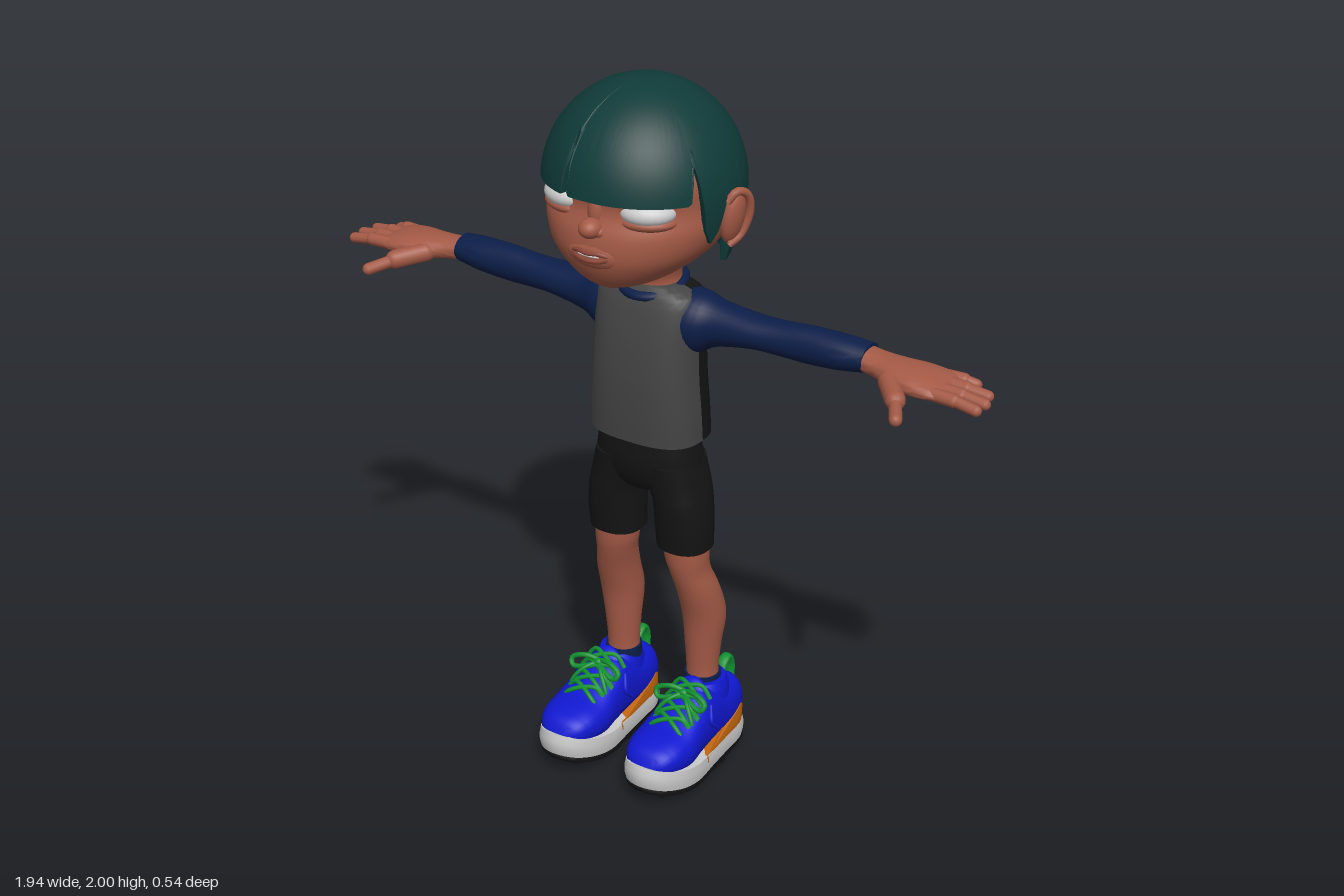
import * as THREE from 'three';
import { toCreasedNormals } from 'three/addons/utils/BufferGeometryUtils.js';

const mat = (color) => new THREE.MeshStandardMaterial({ color, side: THREE.DoubleSide });
const M = {
  skin: mat(0xa45a46), lip: mat(0x8a4537), hair: mat(0x0f3b39), white: mat(0xe6e6e6), navy: mat(0x0c1e48),
  grey: mat(0x444444), black: mat(0x141414), blue: mat(0x1018d0), green: mat(0x109030), orange: mat(0xc4660f),
};
const V = (x, y, z) => new THREE.Vector3(x, y, z);

function add(parent, name, geo, material) {
  const mesh = new THREE.Mesh(geo, material);
  mesh.name = name;
  parent.add(mesh);
  return mesh;
}

// Smooth skin through superellipse sections [t, centreA, centreB, radiusA, radiusB] along an axis.
function loft(rows, axis = 'y', { n = 2, from = 0, arc = Math.PI * 2, seg = 28, sub = 5 } = {}) {
  const mid = new THREE.CatmullRomCurve3(rows.map((r) => V(r[0], r[1], r[2])), false, 'catmullrom', 0.5);
  const rad = new THREE.CatmullRomCurve3(rows.map((r) => V(r[3], r[4], 0)), false, 'catmullrom', 0.5);
  const count = (rows.length - 1) * sub, pos = [], idx = [], W = seg + 1;
  const pw = (v) => Math.sign(v) * Math.pow(Math.abs(v), 2 / n);
  const put = (t, a, b) => pos.push(...(axis === 'y' ? [a, t, b] : axis === 'x' ? [t, a, b] : [a, b, t]));
  const ring = (i) => {
    const m = mid.getPoint(i / count), r = rad.getPoint(i / count);
    for (let j = 0; j <= seg; j++) {
      const th = from + (arc * j) / seg;
      put(m.x, m.y + Math.max(r.x, 5e-4) * pw(Math.cos(th)), m.z + Math.max(r.y, 5e-4) * pw(Math.sin(th)));
    }
    return m;
  };
  const flip = (axis === 'y') !== (rows[0][0] > rows[rows.length - 1][0]);
  const tri = (a, b, c) => (flip ? idx.push(a, c, b) : idx.push(a, b, c));
  for (let i = 0; i <= count; i++) ring(i);
  for (let i = 0; i < count; i++) for (let j = 0; j < seg; j++) {
    const p = i * W + j;
    tri(p, p + 1, p + W);
    tri(p + 1, p + W + 1, p + W);
  }
  for (const end of [0, count]) { // caps
    const base = pos.length / 3, m = ring(end);
    put(m.x, m.y, m.z);
    for (let j = 0; j < seg; j++) end ? tri(base + j, base + j + 1, base + W) : tri(base + j + 1, base + j, base + W);
  }
  const geo = new THREE.BufferGeometry();
  geo.setAttribute('position', new THREE.Float32BufferAttribute(pos, 3));
  geo.setIndex(idx);
  return toCreasedNormals(geo, 0.9);
}

function ball(parent, name, material, [x, y, z], [a, b, c]) {
  const mesh = add(parent, name, new THREE.SphereGeometry(1, 24, 16), material);
  mesh.position.set(x, y, z);
  mesh.scale.set(a, b, c);
  return mesh;
}

function limb(parent, name, material, p, q, r) {
  const a = V(...p), b = V(...q);
  const mesh = add(parent, name, new THREE.CapsuleGeometry(r, a.distanceTo(b), 6, 12), material);
  mesh.position.copy(a).add(b).multiplyScalar(0.5);
  mesh.quaternion.setFromUnitVectors(V(0, 1, 0), b.sub(a).normalize());
}

const tube = (pts, r, closed = false) =>
  new THREE.TubeGeometry(new THREE.CatmullRomCurve3(pts.map((p) => V(...p)), closed), 24, r, 8, closed);

// Bobbed hair: a shell whose hem height depends on the angle away from the front.
function hairGeometry() {
  const hemTable = [[0, 1.757], [58, 1.75], [60, 1.756], [64, 1.85], [70, 1.67], [75, 1.63], [80, 1.66], [85, 1.75],
    [94, 1.76], [97, 1.72], [99, 1.55], [140, 1.53], [181, 1.515]];
  const hem = (deg) => {
    const a = Math.abs(deg), k = hemTable.findIndex((e) => e[0] > a), [a0, y0] = hemTable[k - 1], [a1, y1] = hemTable[k];
    const y = y0 + ((y1 - y0) * (a - a0)) / (a1 - a0);
    const parting = 0.14 * Math.max(0, 1 - Math.abs(deg + 16) / 2.4);
    return y + parting + (a > 99 ? 0.006 * Math.sin(a * 0.3) : 0);
  };
  const radius = (d) => (d < 0.27 ? Math.sqrt(1 - ((0.27 - d) / 0.27) ** 2) : 1 - 0.18 * ((d - 0.27) / 0.21) ** 1.5);
  const cols = 288, rows = 18, pos = [], idx = [];
  for (let i = 0; i <= rows + 2; i++) for (let j = 0; j < cols; j++) {
    const deg = (j * 360) / cols - 180, a = (deg * Math.PI) / 180, h = hem(deg);
    const d = (2 - h) * Math.min(1, i / rows) ** 1.6;
    const r = radius(d) * (i > rows ? 0.93 : 1); // last rows fold inward
    pos.push(0.26 * r * Math.sin(a), 2 - d + (i > rows + 1 ? 0.04 : 0), -0.005 + 0.264 * r * Math.cos(a));
  }
  for (let i = 0; i < rows + 2; i++) for (let j = 0; j < cols; j++) {
    const p = i * cols + j, q = i * cols + ((j + 1) % cols);
    idx.push(p, p + cols, q, q, p + cols, q + cols);
  }
  const geo = new THREE.BufferGeometry();
  geo.setAttribute('position', new THREE.Float32BufferAttribute(pos, 3));
  geo.setIndex(idx);
  return toCreasedNormals(geo, 0.8);
}

function head(root) {
  const g = new THREE.Group();
  g.name = 'head';
  root.add(g);
  add(g, 'skull', loft([[1.492, 0, 0.1, 0.03, 0.06], [1.515, 0, 0.08, 0.1, 0.118], [1.55, 0, 0.055, 0.158, 0.17],
    [1.6, 0, 0.03, 0.21, 0.213], [1.66, 0, 0.01, 0.237, 0.23], [1.72, 0, -0.01, 0.24, 0.228], [1.8, 0, -0.01, 0.238, 0.232],
    [1.9, 0, -0.005, 0.185, 0.18], [1.96, 0, -0.005, 0.1, 0.1], [1.975, 0, -0.005, 0.01, 0.01]], 'y', { n: 2.1, seg: 40 }), M.skin);
  add(g, 'neck', loft([[1.38, 0, -0.05, 0.095, 0.075], [1.44, 0, -0.05, 0.078, 0.07], [1.48, 0, -0.045, 0.078, 0.075],
    [1.54, 0, -0.03, 0.1, 0.1]]), M.skin);
  add(g, 'hair', hairGeometry(), M.hair);
  ball(g, 'nose', M.skin, [0, 1.68, 0.235], [0.03, 0.026, 0.034]);
  ball(g, 'noseBridge', M.skin, [0, 1.715, 0.21], [0.022, 0.05, 0.02]);
  ball(g, 'muzzle', M.skin, [0, 1.61, 0.215], [0.085, 0.045, 0.034]);
  ball(g, 'teeth', M.white, [0, 1.611, 0.236], [0.042, 0.006, 0.016]);
  add(g, 'upperLip', tube([[-0.06, 1.61, 0.231], [-0.03, 1.62, 0.246], [0, 1.619, 0.252], [0.03, 1.62, 0.246], [0.06, 1.61, 0.231]], 0.006), M.lip);
  add(g, 'lowerLip', tube([[-0.06, 1.61, 0.231], [-0.03, 1.6, 0.243], [0, 1.598, 0.248], [0.03, 1.6, 0.243], [0.06, 1.61, 0.231]], 0.007), M.lip);
  for (const s of [-1, 1]) {
    ball(g, 'eye', M.white, [s * 0.115, 1.724, 0.155], [0.074, 0.037, 0.062]).rotation.y = s * 0.4;
    ball(g, 'lowerEyelid', M.skin, [s * 0.115, 1.7, 0.155], [0.078, 0.024, 0.058]).rotation.y = s * 0.4;
    ball(g, 'nostril', M.skin, [s * 0.022, 1.672, 0.227], [0.015, 0.014, 0.018]);
    ball(g, 'ear', M.skin, [s * 0.252, 1.68, -0.02], [0.026, 0.074, 0.04]).rotation.z = -s * 0.18;
    add(g, 'earRim', tube([[s * 0.25, 1.61, -0.005], [s * 0.265, 1.63, -0.035], [s * 0.282, 1.69, -0.05],
      [s * 0.283, 1.74, -0.035], [s * 0.272, 1.755, -0.005], [s * 0.255, 1.73, 0.015]], 0.011), M.skin);
  }
}

function body(root) {
  const shirt = [[1.02, 0, -0.035, 0.163, 0.113], [1.1, 0, -0.032, 0.16, 0.113], [1.2, 0, -0.03, 0.153, 0.11],
    [1.3, 0, -0.034, 0.149, 0.104], [1.38, 0, -0.042, 0.151, 0.094], [1.425, 0, -0.045, 0.14, 0.08], [1.45, 0, -0.045, 0.085, 0.065]];
  add(root, 'shirtFront', loft(shirt, 'y', { n: 2.7, arc: Math.PI }), M.grey);
  add(root, 'shirtBack', loft(shirt, 'y', { n: 2.7, from: Math.PI, arc: Math.PI }), M.black);
  const collar = add(root, 'collar', new THREE.TorusGeometry(0.083, 0.013, 10, 32), M.navy);
  collar.position.set(0, 1.44, -0.045);
  collar.rotation.x = Math.PI / 2 + 0.2;
  add(root, 'shortsSeat', loft([[0.86, 0, -0.04, 0.08, 0.07], [0.89, 0, -0.04, 0.15, 0.088], [0.95, 0, -0.034, 0.15, 0.097],
    [1.04, 0, -0.032, 0.134, 0.094]], 'y', { n: 2.4 }), M.black);
}

// Arm, hand and leg of the model's left side.
function limbs(side) {
  add(side, 'sleeve', loft([[0.1, 1.35, -0.055, 0.09, 0.085], [0.15, 1.353, -0.055, 0.082, 0.078], [0.2, 1.36, -0.055, 0.062, 0.06],
    [0.3, 1.365, -0.055, 0.046, 0.053], [0.38, 1.366, -0.056, 0.046, 0.046], [0.46, 1.368, -0.058, 0.05, 0.045],
    [0.55, 1.37, -0.062, 0.046, 0.051], [0.625, 1.372, -0.067, 0.037, 0.047]], 'x'), M.navy);
  add(side, 'hand', loft([[0.6, 1.372, -0.066, 0.031, 0.041], [0.66, 1.366, -0.06, 0.029, 0.047], [0.72, 1.362, -0.05, 0.032, 0.063],
    [0.78, 1.36, -0.05, 0.029, 0.075], [0.84, 1.355, -0.055, 0.021, 0.073], [0.862, 1.352, -0.055, 0.008, 0.06]], 'x', { n: 2.3 }), M.skin);
  for (const [tip, z0, z1] of [[0.89, -0.108, -0.125], [0.942, -0.073, -0.084], [0.955, -0.037, -0.04], [0.952, -0.003, 0.002]]) {
    limb(side, 'fingerBase', M.skin, [0.8, 1.357, z0], [(tip + 0.83) / 2, 1.355, (z0 + z1) / 2], 0.0175);
    limb(side, 'fingerTip', M.skin, [(tip + 0.83) / 2, 1.355, (z0 + z1) / 2], [tip, 1.346, z1], 0.0145);
  }
  limb(side, 'thumbBase', M.skin, [0.71, 1.358, -0.005], [0.765, 1.347, 0.06], 0.026);
  limb(side, 'thumbTip', M.skin, [0.765, 1.346, 0.06], [0.803, 1.334, 0.128], 0.0165);
  add(side, 'shortsLeg', loft([[0.69, 0.107, -0.042, 0.075, 0.073], [0.76, 0.107, -0.038, 0.077, 0.078], [0.83, 0.102, -0.038, 0.075, 0.085],
    [0.88, 0.088, -0.04, 0.078, 0.09], [0.95, 0.073, -0.036, 0.075, 0.094]], 'y', { n: 2.3 }), M.black);
  add(side, 'leg', loft([[0.22, 0.132, -0.1, 0.047, 0.047], [0.28, 0.131, -0.1, 0.045, 0.046], [0.36, 0.132, -0.1, 0.051, 0.052],
    [0.45, 0.134, -0.1, 0.06, 0.063], [0.54, 0.13, -0.074, 0.059, 0.063], [0.61, 0.118, -0.05, 0.056, 0.06],
    [0.66, 0.112, -0.042, 0.061, 0.062], [0.75, 0.108, -0.04, 0.065, 0.065]]), M.skin);
}

// Trainer, built around its own centre line.
function shoe() {
  const g = new THREE.Group();
  g.name = 'shoe';
  const half = [[0, 0.245], [0.055, 0.222], [0.088, 0.16], [0.097, 0.09], [0.088, 0], [0.081, -0.1], [0.074, -0.18], [0.045, -0.223], [0, -0.233]];
  const loop = [...half, ...half.slice(1, -1).reverse().map(([x, z]) => [-x, z])];
  const outline = new THREE.CatmullRomCurve3(loop.map(([x, z]) => V(x, 0, z)), true).getPoints(64);
  const lift = (z) => (z > 0 ? 0.045 * (z / 0.245) ** 2 : 0);
  // Slab of the foot outline between two height rules.
  const slab = (bottom, top, scale, zMax = 1) => {
    const pts = outline.slice(0, -1).map((p) => new THREE.Vector2(p.x * scale, -Math.min(p.z * scale, zMax)));
    const geo = new THREE.ExtrudeGeometry(new THREE.Shape(pts), { depth: 1, bevelEnabled: false, steps: 3 });
    geo.rotateX(-Math.PI / 2);
    const p = geo.attributes.position;
    for (let i = 0; i < p.count; i++) {
      const k = p.getY(i), z = p.getZ(i), bulge = 1 + 0.03 * Math.sin(k * Math.PI);
      p.setXYZ(i, p.getX(i) * bulge, lift(z) + bottom(z) + k * (top(z) - bottom(z)), z * bulge);
    }
    return toCreasedNormals(geo, 0.7);
  };
  add(g, 'outsole', slab(() => 0.01, () => 0.035, 0.95), M.black);
  add(g, 'midsole', slab(() => 0.028, (z) => 0.078 + Math.max(0, z) * 0.06, 0.98), M.white);
  add(g, 'heelWedge', slab(() => 0.06, (z) => 0.082 + 0.07 * Math.max(0, -z / 0.22) ** 1.2, 0.955, 0.03), M.orange);
  for (let i = 0; i < 10; i++) {
    const z = -0.195 + i * 0.042;
    const w = 0.14 - 0.02 * Math.cos(i * 0.9) - (i === 9 ? 0.04 : 0);
    add(g, 'tread', new THREE.BoxGeometry(w, 0.016, 0.026), M.black).position.set(0, 0.008 + lift(z), z);
  }
  // Upper: [z, height of top, half width]
  const upper = [[-0.222, 0.16, 0.03], [-0.205, 0.205, 0.058], [-0.16, 0.218, 0.072], [-0.1, 0.228, 0.075], [-0.05, 0.25, 0.077],
    [-0.01, 0.252, 0.079], [0.04, 0.222, 0.083], [0.1, 0.192, 0.09], [0.16, 0.18, 0.084], [0.205, 0.162, 0.062], [0.232, 0.12, 0.02]];
  add(g, 'upper', loft(upper.map(([z, top, w]) => [z, 0, (top + 0.06 + lift(z)) / 2, w, (top - 0.06 - lift(z)) / 2]), 'z', { n: 2.5 }), M.blue);
  add(g, 'ankleCollar', loft([[0.17, 0, -0.09, 0.068, 0.085], [0.22, 0, -0.095, 0.064, 0.075], [0.25, 0, -0.098, 0.055, 0.06]]), M.blue);
  add(g, 'sock', loft([[0.2, -0.01, -0.1, 0.053, 0.053], [0.262, -0.01, -0.1, 0.051, 0.052]]), M.navy);
  const tongue = ball(g, 'tongue', M.blue, [0, 0.235, -0.025], [0.045, 0.042, 0.02]);
  tongue.rotation.x = -0.5;
  // Laces criss-cross down the instep, tied in a bow on top.
  const top = (z) => 0.252 - (z + 0.01) * 0.53;
  for (let i = 0; i < 4; i++) for (const s of [-1, 1]) {
    const z = 0.105 - i * 0.034, z2 = z - 0.028;
    add(g, 'lace', tube([[-s * 0.062, top(z) - 0.03, z], [-s * 0.035, top(z) + 0.002, z], [0, top((z + z2) / 2) + 0.009, (z + z2) / 2],
      [s * 0.035, top(z2) + 0.002, z2], [s * 0.062, top(z2) - 0.03, z2]], 0.0065), M.green);
  }
  for (const s of [-1, 1]) {
    add(g, 'bowLoop', tube([[0, 0.25, 0.01], [s * 0.04, 0.262, 0.02], [s * 0.078, 0.246, 0.03], [s * 0.07, 0.228, 0.038], [s * 0.03, 0.236, 0.03]], 0.0075, true), M.green);
    add(g, 'laceEnd', tube([[0, 0.25, 0.012], [s * 0.03, 0.235, 0.045], [s * 0.055, 0.2, 0.062], [s * 0.062, 0.168, 0.066]], 0.006), M.green);
    add(g, 'sideStripe', tube([[s * 0.066, 0.215, -0.02], [s * 0.083, 0.175, 0], [s * 0.083, 0.14, -0.03]], 0.006), M.blue);
  }
  ball(g, 'bowKnot', M.green, [0, 0.25, 0.014], [0.015, 0.012, 0.012]);
  const pull = add(g, 'heelLoop', tube([[0, 0.21, -0.17], [0, 0.245, -0.195], [0, 0.248, -0.215], [0, 0.22, -0.229], [0, 0.17, -0.226], [0, 0.14, -0.222]], 0.009), M.green);
  pull.scale.x = 1.8;
  return g;
}

export function createModel() {
  const root = new THREE.Group();
  root.name = 'figure';
  head(root);
  body(root);
  for (const s of [1, -1]) {
    const side = new THREE.Group();
    side.name = s > 0 ? 'leftSide' : 'rightSide';
    limbs(side);
    const foot = shoe();
    foot.position.x = 0.142;
    side.add(foot);
    side.scale.x = s;
    root.add(side);
  }
  return root;
}
